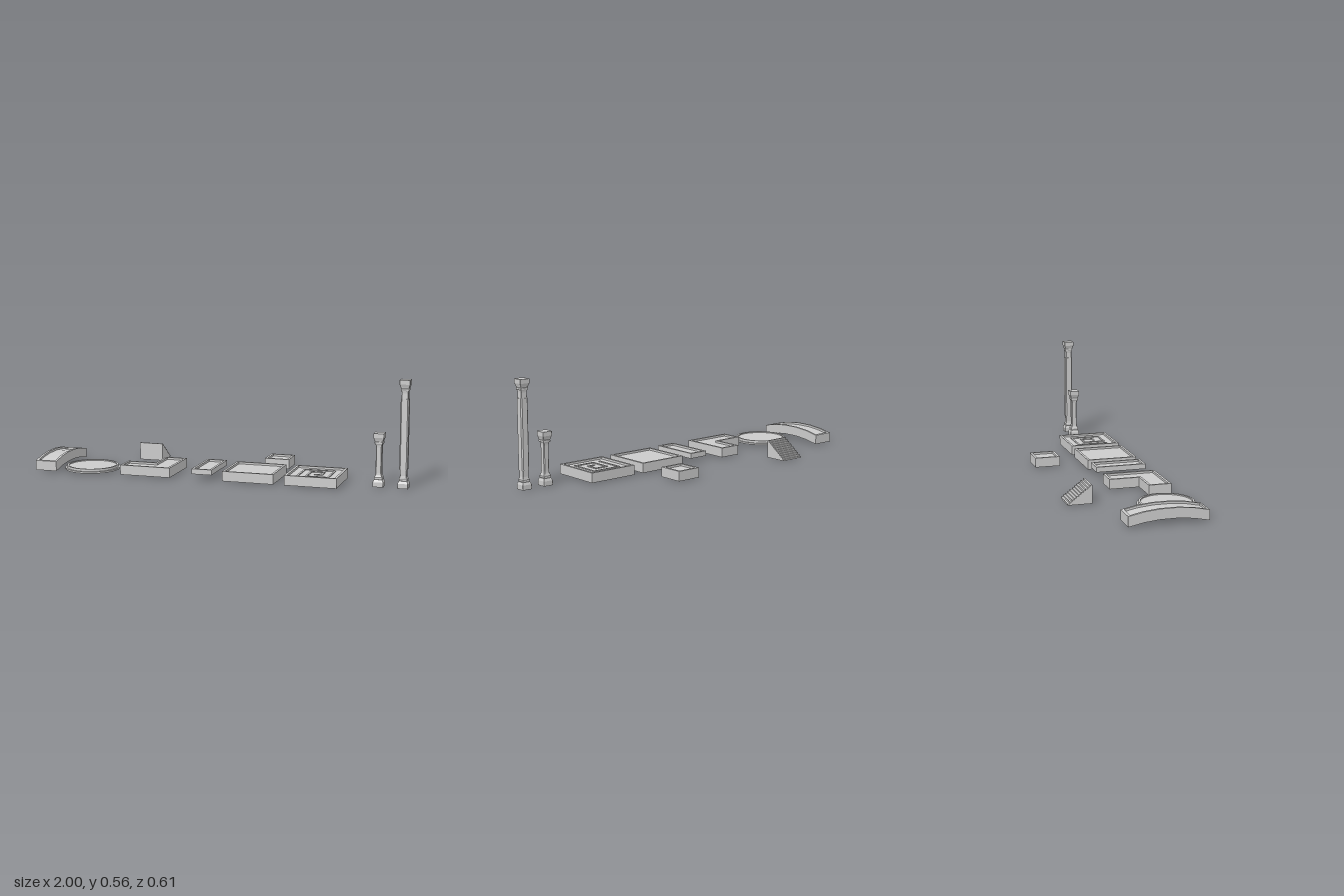
import * as THREE from 'three';
import { toCreasedNormals } from 'three/addons/utils/BufferGeometryUtils.js';

const stone = new THREE.MeshStandardMaterial({ color: 0xcccccc, flatShading: true });
const smoothStone = new THREE.MeshStandardMaterial({ color: 0xcccccc });
const RIM = 0.013, DEPTH = 0.011;

function add(parent, name, geometry, material = stone) {
  const mesh = new THREE.Mesh(geometry, material);
  mesh.name = name;
  parent.add(mesh);
  return mesh;
}

function group(parent, name) {
  const g = new THREE.Group();
  g.name = name;
  parent.add(g);
  return g;
}

const toShape = (pts) => new THREE.Shape(pts.map(([a, b]) => new THREE.Vector2(a, b)));

// Extrudes a floor plan given as [x, z] between two heights
function slab(shape, y0, y1) {
  return new THREE.ExtrudeGeometry(shape, { depth: y1 - y0, bevelEnabled: false })
    .rotateX(Math.PI / 2).translate(0, y1, 0);
}

// Extrudes a side profile given as [z, y] between two x positions
function sideSlab(pts, x0, x1) {
  return new THREE.ExtrudeGeometry(toShape(pts), { depth: x1 - x0, bevelEnabled: false })
    .rotateY(-Math.PI / 2).translate(x1, 0, 0);
}

// Moves a right-angled counter-clockwise outline inward
function inset(pts, d) {
  const n = pts.length;
  const normal = (a, b) => {
    const l = Math.hypot(b[0] - a[0], b[1] - a[1]);
    return [-(b[1] - a[1]) / l, (b[0] - a[0]) / l];
  };
  return pts.map((p, i) => {
    const n1 = normal(pts[(i + n - 1) % n], p), n2 = normal(p, pts[(i + 1) % n]);
    return [p[0] + d * (n1[0] + n2[0]), p[1] + d * (n1[1] + n2[1])];
  });
}

const rect = (x0, x1, z0, z1) => [[x0, z0], [x1, z0], [x1, z1], [x0, z1]];

// Platform with a raised rim around a sunken floor
function platform(parent, name, outline, y0, y1) {
  const g = group(parent, name);
  add(g, 'platformBase', slab(toShape(outline), y0, y1 - DEPTH));
  const rim = toShape(outline);
  rim.holes.push(toShape(inset(outline, RIM)));
  add(g, 'platformRim', slab(rim, y1 - DEPTH, y1));
  return g;
}

// Square-section loft from rows of [y, half width, corner chamfer]
function squareLoft(rows) {
  const pos = [], index = [];
  rows.forEach(([y, h, c]) => {
    const k = h - c;
    [[h, -k], [h, k], [k, h], [-k, h], [-h, k], [-h, -k], [-k, -h], [k, -h]]
      .forEach(([x, z]) => pos.push(x, y, z));
  });
  for (let r = 0; r < rows.length - 1; r++) {
    for (let i = 0; i < 8; i++) {
      const a = r * 8 + i, b = r * 8 + (i + 1) % 8;
      index.push(a, a + 8, b, b, a + 8, b + 8);
    }
  }
  const top = (rows.length - 1) * 8;
  for (let i = 1; i < 7; i++) {
    index.push(0, i, i + 1, top, top + i + 1, top + i);
  }
  const g = new THREE.BufferGeometry();
  g.setAttribute('position', new THREE.Float32BufferAttribute(pos, 3));
  g.setIndex(index);
  const flat = g.toNonIndexed();
  flat.computeVertexNormals();
  return flat;
}

// Column with matching base and capital; the shaft depends on the height
function column(parent, name, x, height, shaft) {
  const g = group(parent, name);
  g.position.set(x, 0, 0.11);
  const c = 0.001;
  const base = [[0, 0.027, c], [0.025, 0.027, c], [0.032, 0.024, c], [0.038, 0.021, c]];
  const ring = [[0.038, 0.019, c], [0.041, 0.021, c], [0.05, 0.021, c], [0.054, 0.018, c]];
  const capital = [[0.042, 0.021, c], [0.036, 0.022, c], [0.029, 0.0245, c], [0.022, 0.027, c], [0, 0.027, c]];
  add(g, 'columnBase', squareLoft(base));
  add(g, 'lowerRing', squareLoft(ring));
  add(g, 'shaft', squareLoft(shaft));
  add(g, 'upperRing', squareLoft(ring.map(([y, h]) => [y + height - 0.094, h, c])));
  add(g, 'capital', squareLoft(capital.map(([d, h]) => [height - d, h, c])));
}

export function createModel() {
  const model = new THREE.Group();
  model.name = 'platformKit';

  // Arched bridge with a sunken walkway
  const bridge = group(model, 'archedBridge');
  const arch = [[0.275, 0.055], [0.196, 0.071], [0.117, 0.079], [0.028, 0.079], [-0.051, 0.071], [-0.13, 0.055]];
  const lower = (d) => arch.map(([z, y]) => [z, y - d]);
  const band = (d0, d1) => [...lower(d0), ...lower(d1).reverse()];
  add(bridge, 'bridgeDeck', sideSlab(band(DEPTH, 0.052), -1, -0.88));
  for (const x of [-1, -0.88 - RIM]) add(bridge, 'sideRim', sideSlab(band(0, DEPTH), x, x + RIM));
  for (const [z, s] of [[0.275, -1], [-0.13, 1]]) {
    const zi = z + s * RIM, yi = 0.0576;
    const end = [[z, 0.055], [zi, yi], [zi, yi - DEPTH], [z, 0.055 - DEPTH]];
    add(bridge, 'endRim', sideSlab(s < 0 ? end : end.reverse(), -1 + RIM, -0.88 - RIM));
  }

  // Round platform with a lower flange
  const disc = [[0, 0.007], [0.148, 0.007], [0.148, 0.016], [0.138, 0.016], [0.138, 0.029],
    [0.128, 0.029], [0.128, 0.023], [0, 0.023]].map(([r, y]) => new THREE.Vector2(r, y));
  add(model, 'roundPlatform', toCreasedNormals(new THREE.LatheGeometry(disc, 40), 0.6), smoothStone)
    .position.set(-0.717, 0, 0.157);

  // Straight-sided platforms
  platform(model, 'cornerPlatform', [[-0.36, -0.027], [-0.24, -0.027], [-0.24, 0.253],
    [-0.518, 0.253], [-0.518, 0.132], [-0.36, 0.132]], 0.003, 0.055);
  platform(model, 'narrowPlatform', rect(-0.12, -0.01, -0.027, 0.247), 0.03, 0.058);
  platform(model, 'squarePlatform', rect(0.048, 0.323, -0.027, 0.248), 0.003, 0.055);
  platform(model, 'smallPlatform', rect(0.168, 0.302, -0.29, -0.153), 0.003, 0.055);
  const ornate = platform(model, 'spiralPlatform', rect(0.38, 0.655, -0.027, 0.248), 0.003, 0.055);

  // Square spiral ridge on the floor, repeated faintly underneath
  const path = [[-0.08, 0.08], [-0.08, -0.08], [0.08, -0.08], [0.08, 0.08], [-0.035, 0.08],
    [-0.035, -0.035], [0.035, -0.035], [0.035, 0.03], [0, 0.03]];
  for (const [y, h] of [[0.046, 0.004], [0.0025, 0.002]]) {
    for (let i = 0; i < path.length - 1; i++) {
      const [ax, az] = path[i], [bx, bz] = path[i + 1], w = 0.01;
      add(ornate, 'spiralRidge', new THREE.BoxGeometry(Math.abs(bx - ax) + w, h, Math.abs(bz - az) + w))
        .position.set(0.5175 + (ax + bx) / 2, y, 0.1105 + (az + bz) / 2);
    }
  }

  // Staircase descending toward the back
  const steps = 11, run = 0.126 / steps, rise = 0.095 / steps;
  const stair = [[-0.306, 0], [-0.18, 0], [-0.18, 0.095]];
  for (let i = 0; i < steps; i++) {
    const z = -0.18 - run * (i + 1), y = 0.095 - rise * i;
    stair.push([z, y]);
    if (i < steps - 1) stair.push([z, y - rise]);
  }
  add(model, 'staircase', sideSlab(stair, -0.572, -0.438));

  // Columns: a tall one with a thick shaft, a short one with a slim shaft
  column(model, 'tallColumn', 0.972, 0.555, [[0.054, 0.018, 0.001], [0.065, 0.0165, 0.002],
    [0.098, 0.0175, 0.002], [0.098, 0.021, 0.006], [0.459, 0.021, 0.006], [0.459, 0.0175, 0.002],
    [0.488, 0.0165, 0.002], [0.501, 0.018, 0.001]]);
  column(model, 'shortColumn', 0.845, 0.277, [[0.054, 0.019, 0.001], [0.062, 0.0165, 0.003],
    [0.072, 0.0155, 0.004], [0.205, 0.0155, 0.004], [0.215, 0.0165, 0.003], [0.223, 0.019, 0.001]]);

  return model;
}
